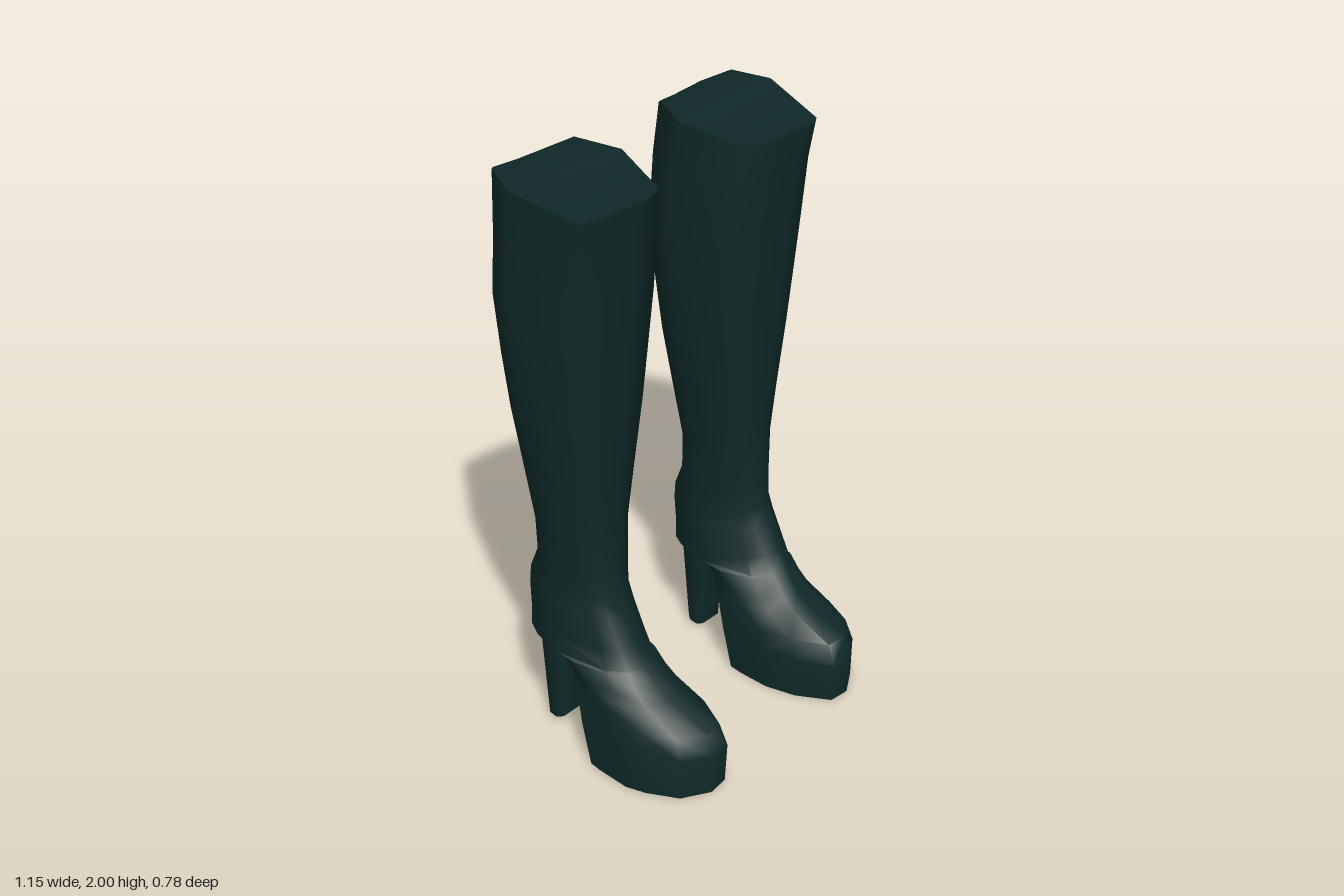
import * as THREE from 'three';
import { toCreasedNormals } from 'three/addons/utils/BufferGeometryUtils.js';

// Outlines seen from above: u runs inner to outer, v runs back to front
const LEG = [[.54, 1], [.72, .94], [.88, .85], [1, .38], [.88, .14], [.73, 0],
  [.25, .03], [.13, .14], [0, .42], [.15, .85], [.34, .94]];
const FOOT = [[.5, 1], [.78, .86], [.94, .6], [1, .42], [.98, .12], [.96, 0],
  [.03, 0], [.01, .12], [0, .42], [.08, .7], [.27, .98]];
const HEEL = [[.5, 1], [.85, 1], [1, .8], [.95, .4], [.75, .1], [.5, 0],
  [.5, 0], [.25, .1], [.05, .4], [0, .8], [.15, 1]];

// Upper, bottom to top: y, inner x, outer x, back z, front z, share of foot outline
const UPPER = [
  [.005, .19, .51, 0, .385, 1],
  [.15, .188, .51, -.035, .395, 1],
  [.22, .195, .5, -.06, .365, .95],
  [.275, .205, .49, -.09, .21, .75],
  [.31, .21, .487, -.12, .16, .6],
  [.362, .215, .483, -.205, .122, .35],
  [.368, .215, .483, -.328, .118, .15],
  [.43, .218, .478, -.333, .08, .05],
  [.52, .22, .473, -.342, .032, 0],
  [.58, .22, .472, -.336, .005, 0],
  [.66, .217, .473, -.302, -.003, 0],
  [.82, .2, .49, -.292, -.013, 0],
  [1, .17, .515, -.317, .003, 0],
  [1.22, .134, .547, -.347, .025, 0],
  [1.4, .118, .562, -.37, .046, 0],
  [1.6, .104, .575, -.39, .07, 0],
  [1.8, .113, .572, -.378, .096, 0],
  [1.95, .13, .577, -.365, .12, 0],
];
const RIM = [1.96, 1.945, 1.93, 1.985, 2, 1.965, 1.96, 1.995, 1.975, 1.93, 1.945];

// Heel column, bottom to top
const HEEL_RINGS = [
  [.02, .295, .41, -.31, -.225, 0],
  [.2, .285, .418, -.323, -.215, 0],
  [.37, .265, .435, -.33, -.203, 0],
  [.46, .27, .43, -.33, -.205, 0],
];

// Skin a stack of rings, closing both ends with strips; side -1 mirrors it
function loft(rows, base, other, side, rim) {
  const n = base.length, pos = [], idx = [];
  rows.forEach(([y, x0, x1, z0, z1, t], r) => base.forEach(([u, v], j) => {
    const uu = THREE.MathUtils.lerp(u, other[j][0], t);
    const vv = THREE.MathUtils.lerp(v, other[j][1], t);
    const top = rim && r === rows.length - 1;
    pos.push(side * (x0 + (x1 - x0) * uu), top ? rim[j] : y, z0 + (z1 - z0) * vv);
  }));
  const tri = (a, b, c) => side > 0 ? idx.push(a, b, c) : idx.push(a, c, b);
  for (let r = 0; r < rows.length - 1; r++) {
    for (let j = 0; j < n; j++) {
      const a = r * n + j, b = r * n + (j + 1) % n;
      tri(a, b, b + n);
      tri(a, b + n, a + n);
    }
  }
  const last = (rows.length - 1) * n;
  const cap = (a, b, c) => {
    tri(last + a, last + b, last + c);
    tri(a, c, b);
  };
  cap(0, 1, n - 1);
  for (let k = 1; k < (n - 1) / 2; k++) {
    cap(k, k + 1, n - k - 1);
    cap(k, n - k - 1, n - k);
  }
  const geo = new THREE.BufferGeometry();
  geo.setAttribute('position', new THREE.Float32BufferAttribute(pos, 3));
  geo.setIndex(idx);
  return toCreasedNormals(geo, 0.95);
}

export function createModel() {
  const model = new THREE.Group();
  model.name = 'platformBoots';
  const leather = new THREE.MeshStandardMaterial({ color: 0x102828 });
  leather.name = 'darkTealLeather';

  for (const side of [1, -1]) {
    const boot = new THREE.Group();
    boot.name = side > 0 ? 'leftBoot' : 'rightBoot';
    // Shaft, foot and platform in one skin
    const upper = new THREE.Mesh(loft(UPPER, LEG, FOOT, side, RIM), leather);
    upper.name = 'upper';
    // Tall block heel
    const heel = new THREE.Mesh(loft(HEEL_RINGS, HEEL, HEEL, side), leather);
    heel.name = 'heel';
    boot.add(upper, heel);
    model.add(boot);
  }
  return model;
}
